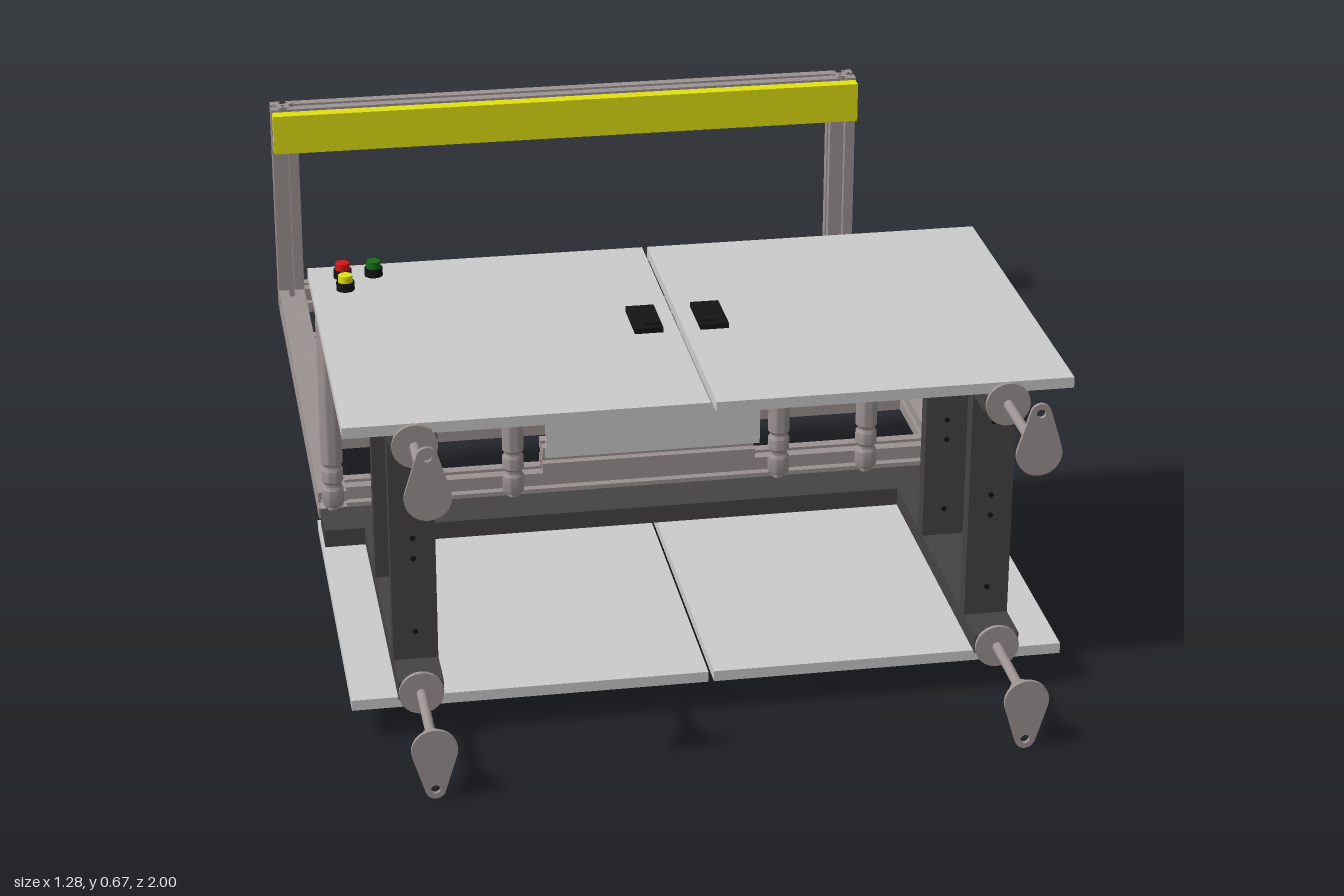
import * as THREE from 'three';
import { toCreasedNormals } from 'three/addons/utils/BufferGeometryUtils.js';

const mat = (color) => new THREE.MeshStandardMaterial({ color });
const grey = mat(0xcccccc), alu = mat(0x9c9292), dark = mat(0x454242), black = mat(0x141414);
const yellow = mat(0xe0e010), green = mat(0x146a14), red = mat(0xd01515);

export function createModel() {
  const model = new THREE.Group();

  const add = (name, geometry, material, x = 0, y = 0, z = 0, parent = model) => {
    const mesh = new THREE.Mesh(geometry, material);
    mesh.name = name;
    mesh.position.set(x, y, z);
    parent.add(mesh);
    return mesh;
  };
  // Box given by its limits on each axis
  const box = (name, material, [x0, x1], [y0, y1], [z0, z1]) =>
    add(name, new THREE.BoxGeometry(x1 - x0, y1 - y0, z1 - z0), material,
      (x0 + x1) / 2, (y0 + y1) / 2, (z0 + z1) / 2);
  const lathe = (points, segments = 24) => toCreasedNormals(
    new THREE.LatheGeometry(points.map(([r, y]) => new THREE.Vector2(r, y)), segments), 0.6);

  // Square slotted profile: one T-slot per side and a centre bore
  const S = 0.0275;
  const slotted = new THREE.Shape();
  const side = [[-S, -S], [-0.006, -S], [-0.006, -0.022], [-0.013, -0.022], [-0.006, -0.012],
    [0.006, -0.012], [0.013, -0.022], [0.006, -0.022], [0.006, -S]];
  const outline = [];
  for (let k = 0; k < 4; k++) {
    const c = Math.round(Math.cos(k * Math.PI / 2)), s = Math.round(Math.sin(k * Math.PI / 2));
    side.forEach(([x, y]) => outline.push(new THREE.Vector2(x * c - y * s, x * s + y * c)));
  }
  slotted.setFromPoints(outline);
  slotted.holes.push(new THREE.Path().absarc(0, 0, 0.005, 0, Math.PI * 2, true));

  // Beam centred at a point and running along an axis
  const beam = (name, axis, length, x, y, z) => {
    const g = new THREE.ExtrudeGeometry(slotted, { depth: length, bevelEnabled: false, curveSegments: 6 });
    g.translate(0, 0, -length / 2);
    if (axis === 'x') g.rotateY(Math.PI / 2);
    if (axis === 'y') g.rotateX(Math.PI / 2);
    return add(name, g, alu, x, y, z);
  };

  // Base frame, rear guard and middle screen
  const baseY = 0.115;
  for (const s of [-1, 1]) {
    beam('sideBeam', 'z', 1.015, s * 0.612, baseY, -0.4375);
    beam('rearPost', 'y', 0.472, s * 0.612, 0.324, -0.9725);
    beam('screenPost', 'y', 0.185, s * 0.557, 0.235, -0.262);
  }
  for (const z of [0.028, -0.262, -0.678, -0.9725]) beam('crossBeam', 'x', 1.169, 0, baseY, z);
  beam('rearTopBeam', 'x', 1.169, 0, 0.5325, -0.9725);
  beam('screenTopBeam', 'x', 1.169, 0, 0.3525, -0.262);
  box('screenPanel', grey, [-0.585, 0.585], [0.14, 0.378], [-0.298, -0.29]);
  box('yellowRail', yellow, [-0.638, 0.638], [0.47, 0.555], [-0.945, -0.917]);

  // Foot parts: drop-shaped plate with a bolt hole, cone, spindle and lock nut
  const a = Math.asin(0.022 / 0.075);
  const drop = new THREE.Shape();
  drop.absarc(0, 0, 0.04, Math.PI - a, Math.PI * 2 + a, false);
  drop.absarc(0, 0.075, 0.018, a, Math.PI - a, false);
  drop.holes.push(new THREE.Path().absarc(0, 0.075, 0.008, 0, Math.PI * 2, true));
  const plateGeo = new THREE.ExtrudeGeometry(drop, { depth: 0.007, bevelEnabled: false, curveSegments: 20 });
  const spindleGeo = lathe([[0, 0], [0.04, 0], [0.04, 0.008], [0.009, 0.008], [0.009, 0.15],
    [0.014, 0.155], [0.02, 0.165], [0.022, 0.185], [0.036, 0.197], [0.036, 0.204], [0, 0.204]]);
  spindleGeo.rotateX(Math.PI / 2);
  const nutGeo = new THREE.CylinderGeometry(0.02, 0.02, 0.012, 6).rotateX(Math.PI / 2);

  // Door, rail and foot levels: dir is +1 above and -1 below
  const levels = [
    { dir: 1, door: [0.588, 0.608], rail: [0.555, 0.588], handle: 0.614, foot: 0.572 },
    { dir: -1, door: [0.06, 0.08], rail: [0.08, 0.115], handle: 0.054, foot: 0.093 },
  ];
  for (const L of levels) {
    box('cabinetCrossRail', dark, [-0.637, 0.637], L.rail, [0.085, 0.18]);
    for (const s of [-1, 1]) {
      const xs = [s * 0.005, s * 0.642].sort((p, q) => p - q);
      box('doorPanel', grey, xs, L.door, [0.062, 0.78]);
      box('cabinetSideRail', dark, [s * 0.52 - 0.04, s * 0.52 + 0.04], L.rail, [0.18, 0.79]);

      // Recessed grip: base plate with a raised lip towards the door gap
      box('handlePlate', black, [s * 0.06 - 0.026, s * 0.06 + 0.026],
        [L.handle - 0.006, L.handle + 0.004], [0.362, 0.468]);
      box('handleLip', black, [s * 0.052 - 0.014, s * 0.052 + 0.014],
        [L.handle + L.dir * 0.003 - 0.005, L.handle + L.dir * 0.003 + 0.005], [0.375, 0.455]);

      const foot = new THREE.Group();
      foot.name = 'foot';
      foot.position.set(s * 0.52, L.foot, 0);
      if (L.dir < 0) foot.rotation.z = Math.PI;
      add('footPlate', plateGeo, alu, 0, 0, 0.993, foot);
      add('footSpindle', spindleGeo, alu, 0, 0, 0.789, foot);
      add('footNut', nutGeo, alu, 0, 0, 0.99, foot);
      model.add(foot);
    }
  }

  // Upright posts of the cabinet, with bolt heads on the front faces
  const boltGeo = new THREE.CylinderGeometry(0.005, 0.005, 0.004, 10).rotateX(Math.PI / 2);
  for (const s of [-1, 1]) {
    for (const z of [0.692, 0.37]) {
      box('cabinetPost', dark, [s * 0.52 - 0.04, s * 0.52 + 0.04], [0.115, 0.555], [z - 0.017, z + 0.017]);
      for (const y of [0.17, 0.315, 0.355, 0.5]) add('postBolt', boltGeo, black, s * 0.52, y, z + 0.018);
    }
  }

  // Upright rollers with two collars at the lower end
  const rollerGeo = lathe([[0.011, 0.11], [0.011, 0.122], [0.019, 0.125], [0.021, 0.13], [0.021, 0.16],
    [0.017, 0.166], [0.017, 0.172], [0.021, 0.177], [0.021, 0.2], [0.017, 0.206], [0.017, 0.21],
    [0.021, 0.215], [0.021, 0.53], [0.017, 0.545], [0.011, 0.545], [0.011, 0.56]]);
  for (const x of [0.262, 0.437, 0.612]) {
    for (const s of [-1, 1]) add('roller', rollerGeo, alu, s * x, 0, 0.086);
  }

  // Drum with its backing plate and the two beams that hold it
  const drumGeo = lathe([[0, 0], [0.11, 0], [0.115, 0.004], [0.115, 0.048], [0.11, 0.052], [0, 0.052]], 48);
  drumGeo.rotateX(Math.PI / 2);
  add('drum', drumGeo, green, 0, 0.35, 0.107);
  box('drumPlate', grey, [-0.208, 0.208], [0.228, 0.47], [0.159, 0.166]);
  for (const y of [0.497, 0.2]) beam('drumBeam', 'x', 0.416, 0, y, 0.093);

  // Push buttons
  const collarGeo = new THREE.CylinderGeometry(0.017, 0.017, 0.016, 20);
  const capGeo = new THREE.CylinderGeometry(0.013, 0.014, 0.014, 20);
  const bodyGeo = new THREE.BoxGeometry(0.03, 0.03, 0.03);
  for (const [x, z, color] of [[-0.58, 0.115, red], [-0.522, 0.115, green], [-0.58, 0.175, yellow]]) {
    add('buttonCollar', collarGeo, black, x, 0.616, z);
    add('buttonCap', capGeo, color, x, 0.63, z);
    add('buttonBody', bodyGeo, black, x, 0.573, z);
  }

  return model;
}
